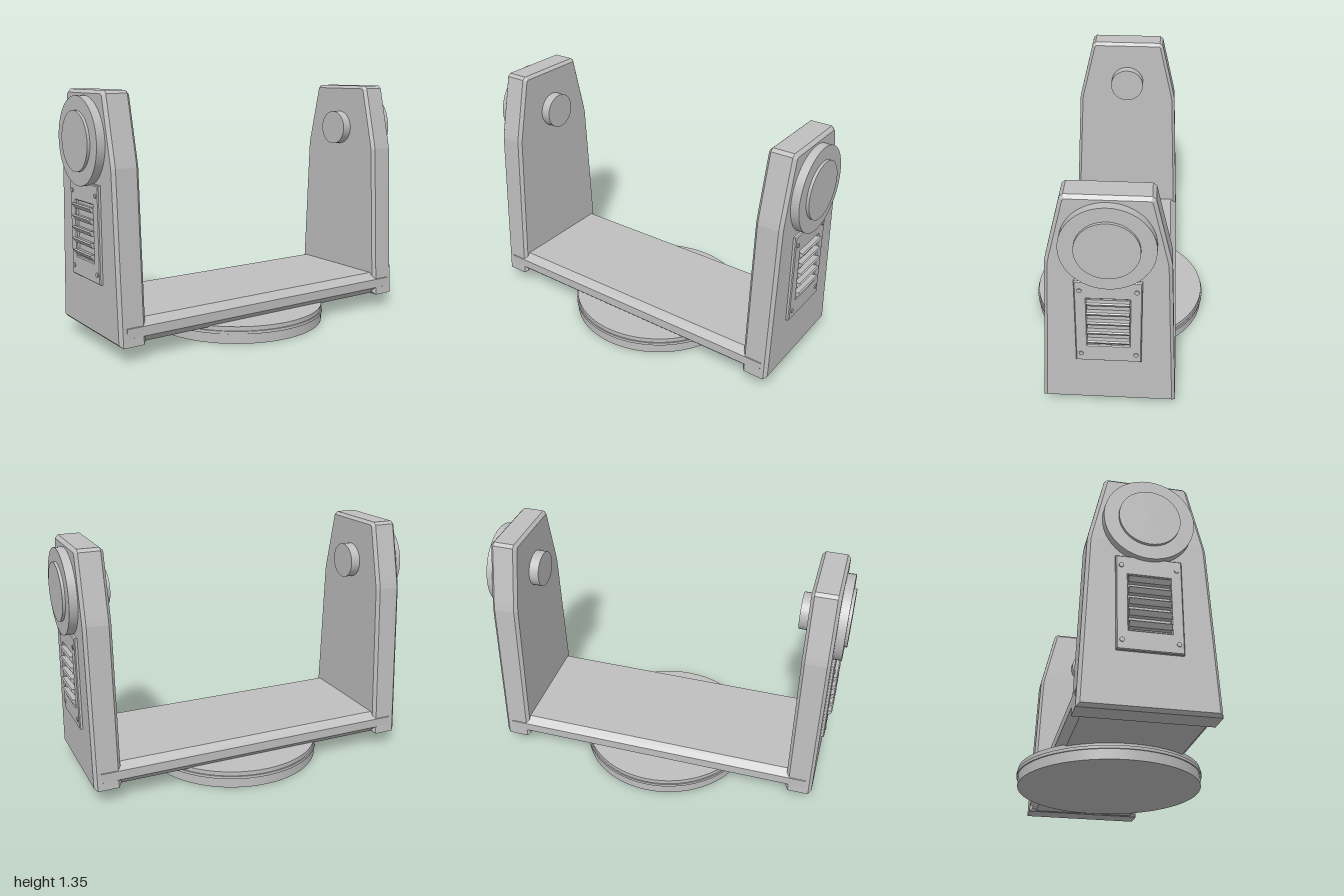
import * as THREE from 'three';

const metal = new THREE.MeshStandardMaterial({ color: 0xbfbfbf });
metal.name = 'grey metal';

function add(parent, name, geometry, x = 0, y = 0, z = 0) {
  const mesh = new THREE.Mesh(geometry, metal);
  mesh.name = name;
  mesh.position.set(x, y, z);
  parent.add(mesh);
  return mesh;
}

const toShape = (pts) => new THREE.Shape(pts.map(([a, b]) => new THREE.Vector2(a, b)));

// Extrudes a (z, y) outline along +x, from x0 to x1, with an inset chamfer.
function extrudeX(shape, x0, x1, chamfer = 0) {
  const g = new THREE.ExtrudeGeometry(shape, {
    depth: x1 - x0 - 2 * chamfer, bevelEnabled: chamfer > 0, bevelSegments: 1,
    bevelSize: chamfer, bevelThickness: chamfer, bevelOffset: -chamfer,
  });
  g.translate(0, 0, x0 + chamfer);
  return g.rotateY(Math.PI / 2);
}

// Cylinder lying along x, from x0 to x1.
function cylinderX(r, x0, x1, sides = 48) {
  const g = new THREE.CylinderGeometry(r, r, x1 - x0, sides);
  return g.rotateZ(-Math.PI / 2).translate((x0 + x1) / 2, 0, 0);
}

const rect = (w, y0, y1) => [[-w, y0], [w, y0], [w, y1], [-w, y1]];

function makeArm() {
  const arm = new THREE.Group();

  // Tapered upright
  const half = [[0.345, 0.08], [0.302, 0.975], [0.295, 1.01], [0.218, 1.335], [0.2, 1.35]];
  const outline = [...half, ...half.slice().reverse().map(([z, y]) => [-z, y])];
  add(arm, 'upright', extrudeX(toShape(outline), 0.79, 0.94, 0.017));

  // Pivot: outer hub, cap and inner pin
  add(arm, 'pivotHub', cylinderX(0.23, 0.93, 0.985), 0, 1.092);
  add(arm, 'pivotCap', cylinderX(0.156, 0.98, 1), 0, 1.092);
  add(arm, 'pivotPin', cylinderX(0.1, 0.735, 0.8, 32), 0, 1.092);

  // Vent panel with a rectangular opening
  const panel = toShape(rect(0.165, 0.37, 0.88));
  panel.holes.push(new THREE.Path(rect(0.105, 0.475, 0.775).reverse().map(([z, y]) => new THREE.Vector2(z, y))));
  add(arm, 'ventPanel', extrudeX(panel, 0.935, 0.957, 0.005));

  // Slanted louvres, outline in (x, y) swept across z
  const slat = new THREE.ExtrudeGeometry(
    toShape([[0.935, -0.018], [0.962, -0.015], [0.978, 0.008], [0.972, 0.015], [0.935, 0.006]]),
    { depth: 0.21, bevelEnabled: false });
  slat.translate(0, 0, -0.105);
  for (let i = 0; i < 5; i++) add(arm, 'louvre', slat, 0, 0.505 + i * 0.061, 0);

  // Panel screws
  for (const z of [-0.138, 0.138]) {
    for (const y of [0.42, 0.825]) add(arm, 'screw', cylinderX(0.012, 0.95, 0.962, 16), 0, y, z);
  }
  return arm;
}

export function createModel() {
  const model = new THREE.Group();
  model.name = 'yokeBracket';

  // Round foot with a thin raised band
  add(model, 'footDisc', new THREE.CylinderGeometry(0.5, 0.5, 0.095, 64), 0, 0.0475);
  add(model, 'footBand', new THREE.CylinderGeometry(0.507, 0.507, 0.016, 64), 0, 0.063);

  // Cross beam with chamfered long edges
  const side = [[0.303, 0.085], [0.343, 0.125], [0.343, 0.176], [0.305, 0.215]];
  const section = [...side, ...side.slice().reverse().map(([z, y]) => [-z, y])];
  add(model, 'crossBeam', extrudeX(toShape(section), -0.9, 0.9));

  // Two identical arms, one turned to the other side
  for (const [name, turn] of [['leftArm', 0], ['rightArm', Math.PI]]) {
    const arm = makeArm();
    arm.name = name;
    arm.rotation.y = turn;
    model.add(arm);
  }
  return model;
}
